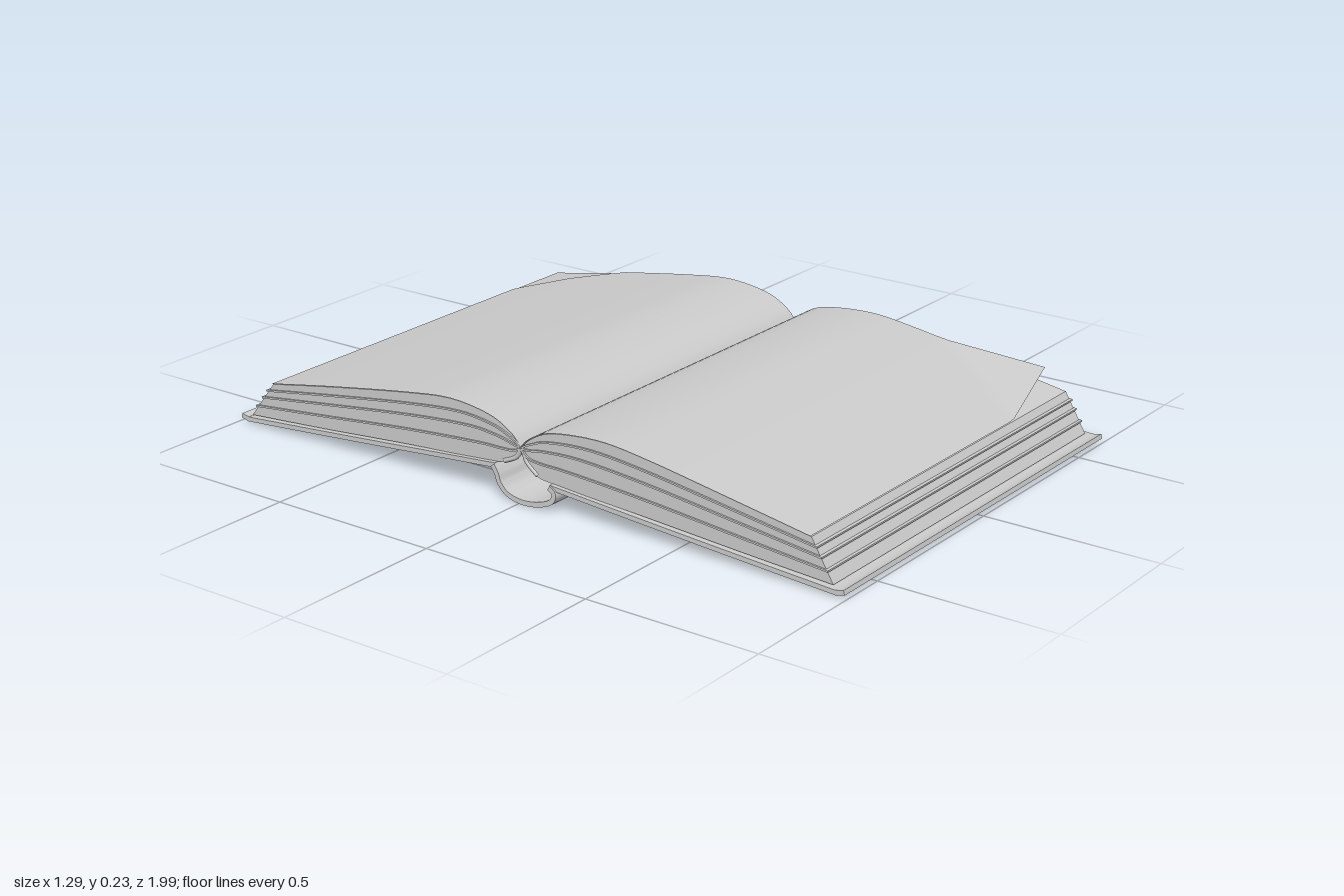
import * as THREE from 'three';
import { toCreasedNormals } from 'three/addons/utils/BufferGeometryUtils.js';

const paper = new THREE.MeshStandardMaterial({ color: 0xcccccc, side: THREE.DoubleSide });
paper.name = 'plain pale grey';

const clamp = (v) => Math.min(1, Math.max(0, v));
const smooth = (points, n = 24) =>
  new THREE.SplineCurve(points.map(([z, y]) => new THREE.Vector2(z, y))).getPoints(n);

// Extrude a (z, y) outline along x from x0 to x1
function extrudeX(name, outline, x0, x1, crease = 0.6) {
  const geo = new THREE.ExtrudeGeometry(new THREE.Shape(outline), {
    depth: x1 - x0, bevelEnabled: false,
  });
  geo.rotateY(-Math.PI / 2).translate(x1, 0, 0);
  const mesh = new THREE.Mesh(toCreasedNormals(geo, crease), paper);
  mesh.name = name;
  return mesh;
}

// Closed band of given thickness following a centre line
function band(line, thickness) {
  const upper = [], lower = [];
  line.forEach((p, i) => {
    const d = line[Math.min(i + 1, line.length - 1)].clone()
      .sub(line[Math.max(i - 1, 0)]).normalize().multiplyScalar(thickness / 2);
    upper.push(new THREE.Vector2(p.x - d.y, p.y + d.x));
    lower.push(new THREE.Vector2(p.x + d.y, p.y - d.x));
  });
  return [...upper, ...lower.reverse()];
}

// Loose top sheet whose outer right corner is moved by a curl rule
function looseSheet(name, top, curl) {
  const nx = 40, nz = top.length - 1;
  const geo = new THREE.PlaneGeometry(1, 1, nx, nz);
  const pos = geo.attributes.position;
  for (let j = 0; j <= nz; j++) {
    for (let i = 0; i <= nx; i++) {
      const x = -0.63 + 1.25 * i / nx;
      const [dx, dy, dz] = curl(x, top[j].x);
      pos.setXYZ(j * (nx + 1) + i, x + dx, top[j].y + 0.003 + dy, top[j].x + dz);
    }
  }
  // Keep the face fronts upwards on both halves
  if (top[nz].x < 0) {
    const index = geo.index.array;
    for (let k = 0; k < index.length; k += 3) {
      [index[k], index[k + 1]] = [index[k + 1], index[k]];
    }
  }
  geo.computeVertexNormals();
  const mesh = new THREE.Mesh(geo, paper);
  mesh.name = name;
  return mesh;
}

// One half of the open book: page block, page layers, loose sheet, cover
function bookHalf(name, { top, bottom, cover, curl }) {
  const half = new THREE.Group();
  half.name = name;
  const t = smooth(top, 32), b = smooth(bottom, 32);
  half.add(extrudeX('pageBlock', [...t, ...b.slice().reverse().slice(0, -1)], -0.625, 0.615));

  // Slightly protruding leaves that divide the block's edges
  for (const f of [0.2, 0.42, 0.7]) {
    const line = t.map((p, i) => p.clone().lerp(b[i], f));
    const end = line[32].clone().sub(line[31]).setLength(0.006);
    line[32].add(end);
    half.add(extrudeX('pageLayer', band(line.slice(1), 0.005), -0.63, 0.62));
  }
  half.add(looseSheet('topSheet', t, curl));
  half.add(extrudeX('cover', band(smooth(cover), 0.013), -0.638, 0.638));
  return half;
}

export function createModel() {
  const book = new THREE.Group();
  book.name = 'openBook';

  book.add(bookHalf('frontHalf', {
    top: [[0, 0.15], [0.03, 0.18], [0.1, 0.211], [0.25, 0.226], [0.4, 0.212], [0.65, 0.172], [0.89, 0.132]],
    bottom: [[0, 0.15], [0.018, 0.105], [0.05, 0.082], [0.12, 0.073], [0.4, 0.057], [0.7, 0.038], [0.955, 0.024]],
    cover: [[0.1, 0.069], [0.3, 0.055], [0.6, 0.035], [0.94, 0.014], [0.97, 0.013], [0.994, 0.018]],
    curl: (x, z) => {
      const c = clamp((x - 0.33) / 0.29 + (z - 0.5) / 0.39 - 1);
      return [0, 0.05 * c, -0.07 * c];
    },
  }));

  book.add(bookHalf('backHalf', {
    top: [[0, 0.15], [-0.03, 0.182], [-0.1, 0.216], [-0.23, 0.232], [-0.38, 0.216], [-0.65, 0.172], [-0.88, 0.13]],
    bottom: [[0, 0.15], [-0.025, 0.118], [-0.06, 0.099], [-0.12, 0.089], [-0.4, 0.068], [-0.7, 0.042], [-0.965, 0.022]],
    cover: [[-0.08, 0.087], [-0.3, 0.068], [-0.6, 0.042], [-0.94, 0.014], [-0.97, 0.013], [-0.994, 0.018]],
    curl: (x, z) => {
      const c = clamp((x - 0.41) / 0.21 + (-z - 0.62) / 0.26 - 1);
      return [-0.08 * c, 0.02 * c, 0.11 * c];
    },
  }));

  // Hollow curved spine joining the two covers
  const spine = smooth([[0.1, 0.069], [0.117, 0.055], [0.105, 0.03], [0.06, 0.013], [0.01, 0.008],
    [-0.035, 0.018], [-0.062, 0.042], [-0.072, 0.068], [-0.085, 0.088]], 32);
  book.add(extrudeX('spine', band(spine, 0.014), -0.643, 0.643));

  // Small rolled bands at both ends of the binding
  for (const side of [-1, 1]) {
    const curve = new THREE.CatmullRomCurve3([[0.05, 0.085], [0.015, 0.115], [0, 0.145], [-0.02, 0.12], [-0.06, 0.1]]
      .map(([z, y]) => new THREE.Vector3(side * 0.622, y, z)));
    const headband = new THREE.Mesh(new THREE.TubeGeometry(curve, 24, 0.007, 8), paper);
    headband.name = 'headband';
    book.add(headband);
  }
  return book;
}
